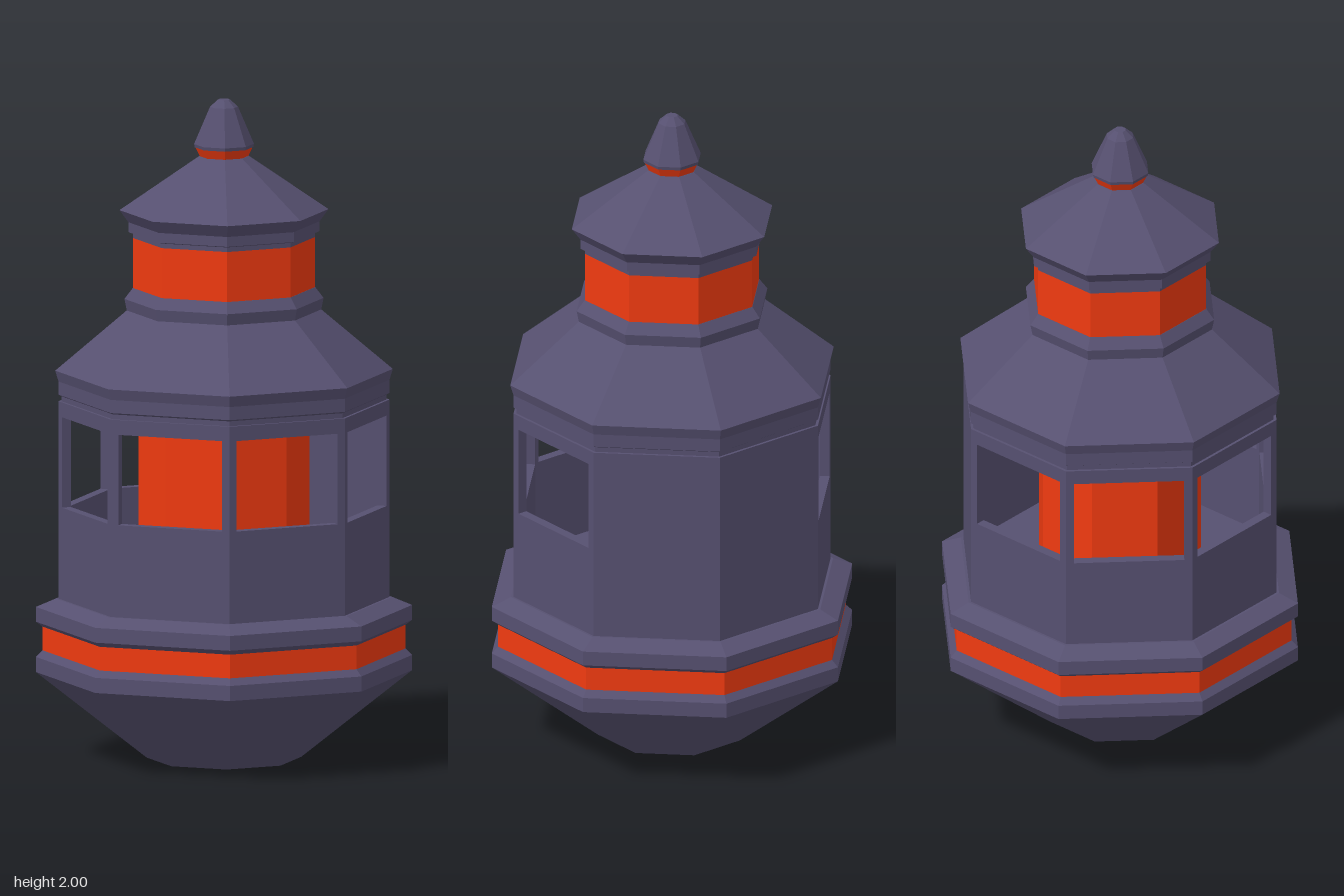
import * as THREE from 'three';

const SIDES = 8;
const TURN = THREE.MathUtils.degToRad(-11.7); // twist of the octagon about y
const STEP = (Math.PI * 2) / SIDES;

const slate = new THREE.MeshStandardMaterial({ color: 0x565070, flatShading: true });
const red = new THREE.MeshStandardMaterial({ color: 0xf03a10, flatShading: true });

// Octagonal solid from a [radius, y] profile listed bottom to top
function ring(name, profile, material) {
  const points = profile.map(([r, y]) => new THREE.Vector2(r, y));
  const mesh = new THREE.Mesh(new THREE.LatheGeometry(points, SIDES, TURN), material);
  mesh.name = name;
  return mesh;
}

// One flat wall panel, with or without a window opening
function wallPanel(index, hasWindow) {
  const radius = 0.497, thickness = 0.03, bottom = 0.47, top = 1.085;
  const half = radius * Math.sin(STEP / 2);
  const rect = (Kind, w, y0, y1) => new Kind([
    new THREE.Vector2(-w, y0), new THREE.Vector2(w, y0),
    new THREE.Vector2(w, y1), new THREE.Vector2(-w, y1),
  ]);
  const shape = rect(THREE.Shape, half, bottom, top);
  if (hasWindow) shape.holes.push(rect(THREE.Path, half - 0.024, 0.765, 1.04));
  const geometry = new THREE.ExtrudeGeometry(shape, { depth: thickness, bevelEnabled: false });
  geometry.translate(0, 0, radius * Math.cos(STEP / 2) - thickness);
  geometry.rotateY(TURN + STEP * (index + 0.5));
  const mesh = new THREE.Mesh(geometry, slate);
  mesh.name = hasWindow ? 'windowWall' : 'solidWall';
  return mesh;
}

export function createModel() {
  const model = new THREE.Group();
  model.name = 'octagonalTower';

  // Tapered base with a red belt between two mouldings
  model.add(
    ring('base', [[0, 0], [0.232, 0], [0.565, 0.262], [0.565, 0.308], [0.545, 0.328], [0, 0.328]], slate),
    ring('baseBelt', [[0.545, 0.328], [0.545, 0.4]], red),
    ring('baseLedge', [[0, 0.4], [0.545, 0.4], [0.565, 0.415], [0.565, 0.46], [0.505, 0.485], [0, 0.485]], slate),
  );

  // Room: eight walls, two at the back without windows
  const walls = new THREE.Group();
  walls.name = 'walls';
  for (let i = 0; i < SIDES; i++) walls.add(wallPanel(i, i !== 3 && i !== 4));
  model.add(walls);

  // Red column inside the room
  model.add(ring('innerColumn', [[0.257, 0.48], [0.257, 1.065]], red));

  // Main roof with ceiling, eave and collar
  model.add(ring('mainRoof', [
    [0, 1.06], [0.48, 1.06], [0.488, 1.085], [0.488, 1.1], [0.497, 1.105], [0.497, 1.145],
    [0.507, 1.178], [0.292, 1.36], [0.299, 1.395], [0.274, 1.428], [0, 1.428],
  ], slate));

  // Upper drum and its roof
  model.add(
    ring('upperDrum', [[0.273, 1.428], [0.273, 1.58]], red),
    ring('upperRoof', [
      [0, 1.58], [0.273, 1.58], [0.273, 1.594], [0.287, 1.598], [0.287, 1.628],
      [0.314, 1.665], [0.075, 1.828], [0, 1.828],
    ], slate),
  );

  // Finial on a red collar
  model.add(
    ring('finialCollar', [[0.072, 1.826], [0.086, 1.855]], red),
    ring('finial', [[0, 1.853], [0.088, 1.855], [0.09, 1.865], [0.042, 1.978], [0.018, 2.0], [0, 2.0]], slate),
  );

  return model;
}
